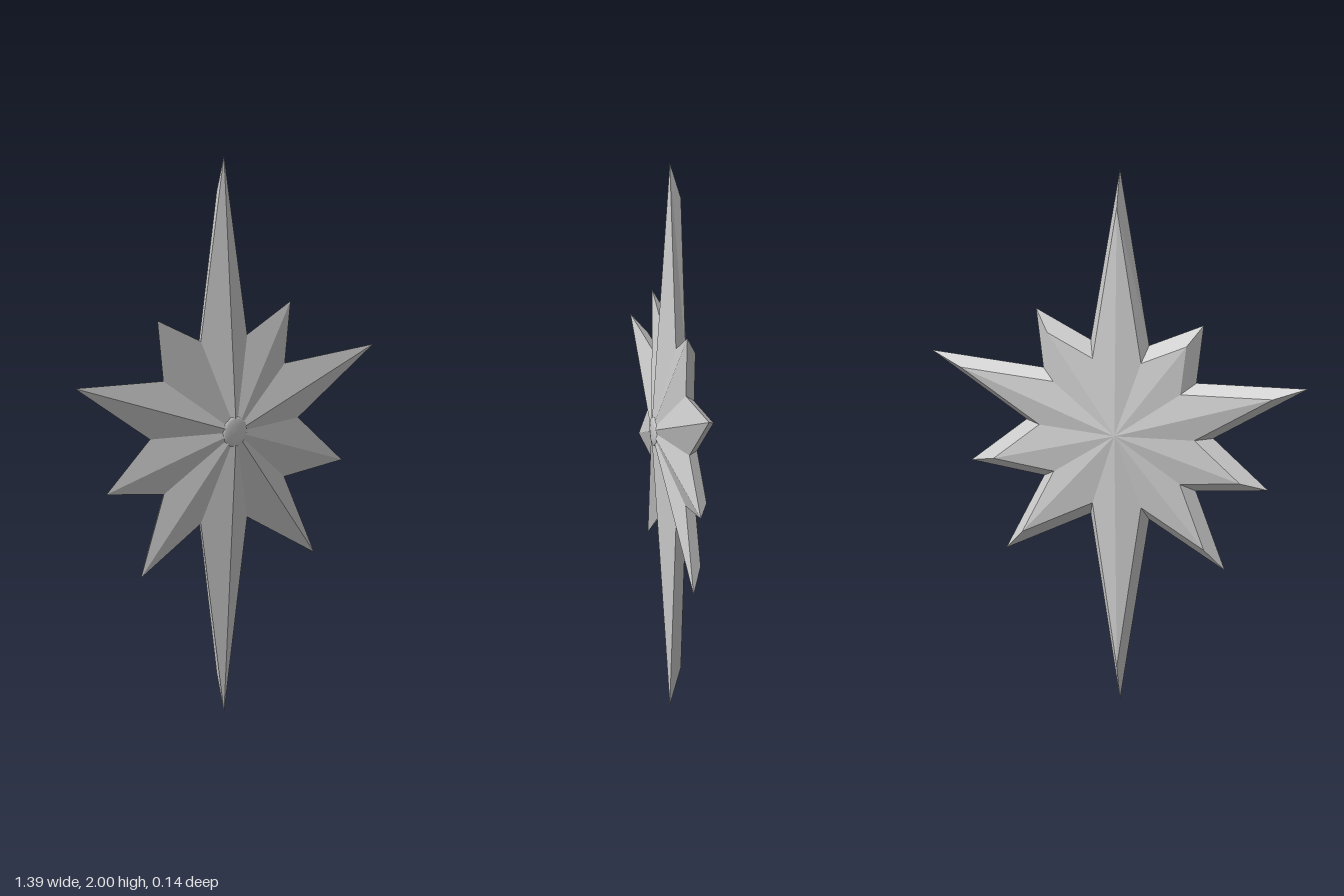
import * as THREE from 'three';

const CENTRE_Y = 1.016;

// Outline from the top point clockwise, alternating tip and valley
const outline = [
  [0, 2], [0.108, 1.345], [0.31, 1.442], [0.283, 1.222], [0.695, 1.243],
  [0.345, 1.02], [0.548, 0.845], [0.28, 0.815], [0.42, 0.527], [0.108, 0.69],
  [0, 0], [-0.108, 0.69], [-0.387, 0.527], [-0.28, 0.815], [-0.548, 0.845],
  [-0.345, 1.02], [-0.695, 1.243], [-0.283, 1.222], [-0.31, 1.442], [-0.108, 1.345],
];

// Outline scaled about the centre and moved to depth z
function ring(scale, z) {
  return outline.map(([x, y], i) => {
    const s = scale(i);
    return [x * s, CENTRE_Y + (y - CENTRE_Y) * s, z];
  });
}

// Flat-shaded mesh from triangles given as corner points
function facets(name, triangles, material) {
  const geometry = new THREE.BufferGeometry();
  geometry.setAttribute('position', new THREE.Float32BufferAttribute(triangles.flat(2), 3));
  geometry.computeVertexNormals();
  const mesh = new THREE.Mesh(geometry, material);
  mesh.name = name;
  return mesh;
}

export function createModel() {
  const group = new THREE.Group();
  group.name = 'tenPointStar';
  const flat = new THREE.MeshStandardMaterial({ color: 0xcccccc, flatShading: true });
  const smooth = new THREE.MeshStandardMaterial({ color: 0xcccccc });

  const rim = ring(() => 1, 0);
  const backRim = ring((i) => (i % 10 === 0 ? 0.865 : 0.83), -0.04);
  const frontApex = [0, CENTRE_Y, 0.067];
  const backApex = [0, CENTRE_Y, -0.07];

  const front = [], bevel = [], back = [];
  for (let i = 0; i < rim.length; i++) {
    const j = (i + 1) % rim.length;
    front.push([frontApex, rim[j], rim[i]]);
    bevel.push([rim[i], rim[j], backRim[j]], [rim[i], backRim[j], backRim[i]]);
    back.push([backApex, backRim[i], backRim[j]]);
  }
  group.add(
    facets('frontFacets', front, flat),
    facets('bevelledEdge', bevel, flat),
    facets('backFacets', back, flat),
  );

  // Small low dome at the centre of the front
  const profile = [[0.056, 0.054], [0.053, 0.06], [0.045, 0.064], [0.025, 0.067], [0, 0.068]]
    .map(([r, h]) => new THREE.Vector2(r, h));
  const boss = new THREE.Mesh(new THREE.LatheGeometry(profile, 32), smooth);
  boss.name = 'centreBoss';
  boss.rotation.x = Math.PI / 2;
  boss.position.y = CENTRE_Y;
  group.add(boss);

  return group;
}
